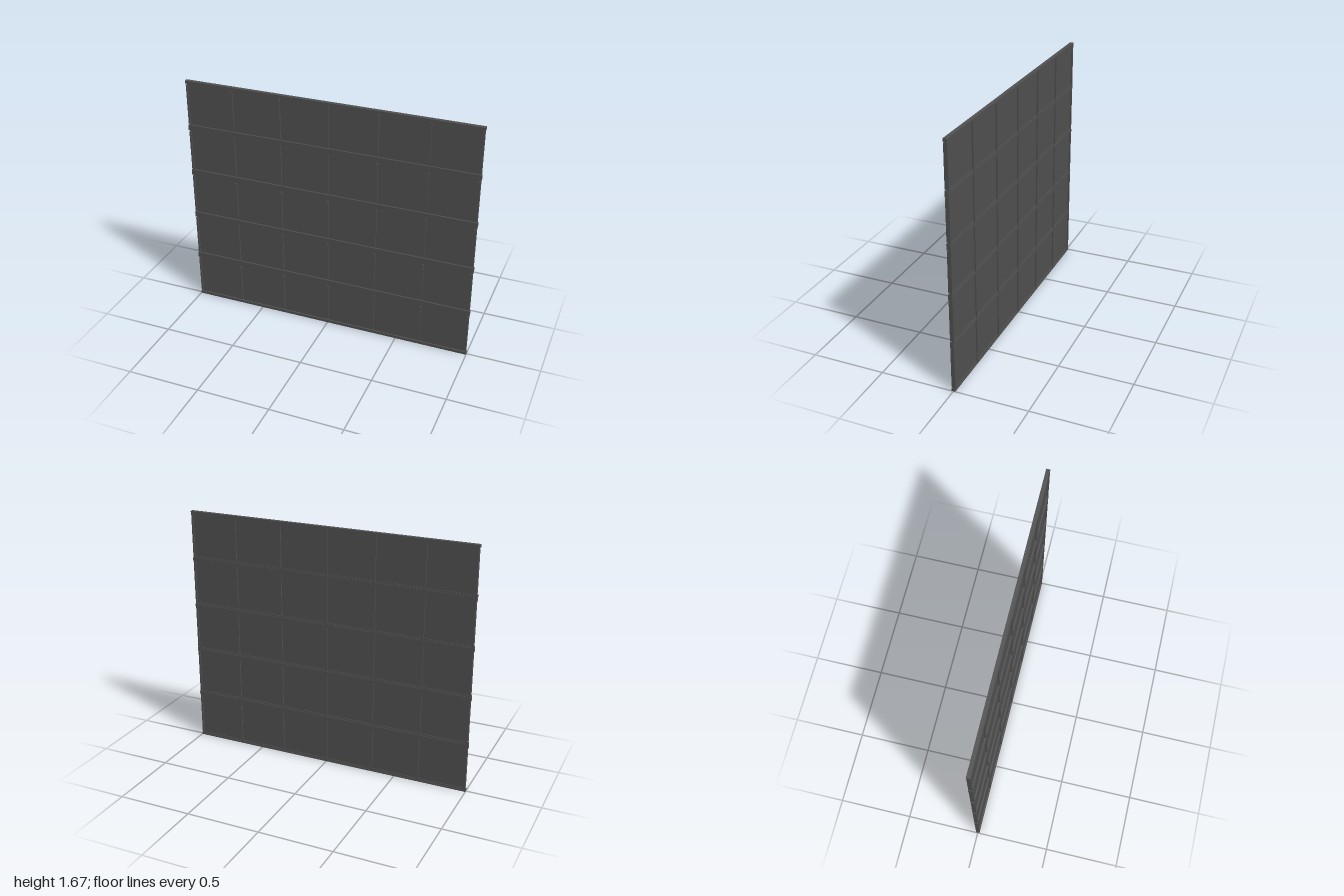
import * as THREE from 'three';

const COLS = 6, ROWS = 5, CELL = 1 / 3;
const HEIGHT = ROWS * CELL, DEPTH = 0.013;

export function createModel() {
  const group = new THREE.Group();
  const material = new THREE.MeshStandardMaterial({ color: 0x505050 });

  // Box given by its limits on each axis
  function bar(name, x0, x1, y0, y1, z0, z1) {
    const mesh = new THREE.Mesh(new THREE.BoxGeometry(x1 - x0, y1 - y0, z1 - z0), material);
    mesh.position.set((x0 + x1) / 2, (y0 + y1) / 2, (z0 + z1) / 2);
    mesh.name = name;
    group.add(mesh);
  }

  // Thin sheet filling the whole grid
  bar('panel', -0.996, 0.996, 0.002, HEIGHT - 0.002, -0.003, 0.003);

  // Horizontal rails: broad flange on both faces, narrow rib on the back
  for (let r = 0; r <= ROWS; r++) {
    const y = r * CELL;
    const y0 = Math.max(0, y - 0.02), y1 = Math.min(HEIGHT, y + 0.02);
    bar('rail', -1, 1, y0, y1, -0.008, DEPTH);
    bar('railRib', -1, 1, Math.max(0, y - 0.009), Math.min(HEIGHT, y + 0.009), -DEPTH, -0.008);
  }

  // Vertical mullions: unbroken on the back, short pieces between rails on the front
  for (let c = 0; c <= COLS; c++) {
    const x = THREE.MathUtils.clamp(-1 + c * CELL, -0.99, 0.99);
    bar('backMullion', x - 0.006, x + 0.006, 0.001, HEIGHT - 0.001, -DEPTH + 0.0003, -0.003);
    for (let r = 0; r < ROWS; r++) {
      bar('frontMullion', x - 0.006, x + 0.006,
        r * CELL + 0.028, (r + 1) * CELL - 0.028, 0.003, DEPTH);
    }
  }
  return group;
}
